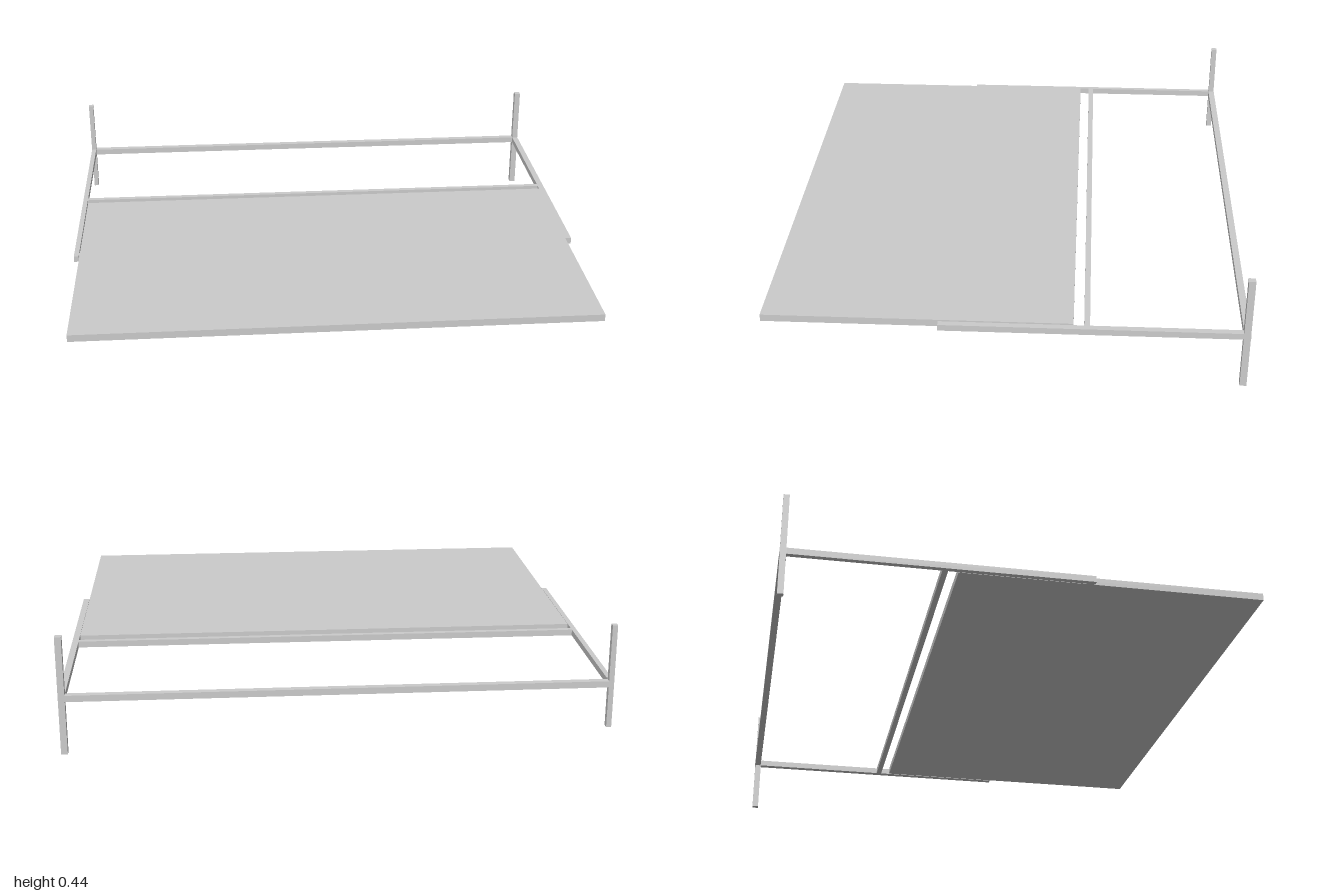
import * as THREE from 'three';

const material = new THREE.MeshStandardMaterial({ color: 0xcccccc, flatShading: true });

// Box given by its lower and upper limits on each axis
function bar(name, [x0, x1], [y0, y1], [z0, z1]) {
  const mesh = new THREE.Mesh(new THREE.BoxGeometry(x1 - x0, y1 - y0, z1 - z0), material);
  mesh.name = name;
  mesh.position.set((x0 + x1) / 2, (y0 + y1) / 2, (z0 + z1) / 2);
  return mesh;
}

export function createModel() {
  const group = new THREE.Group();
  group.name = 'slidingPanelFrame';
  const railY = [0.202, 0.226];
  const leftX = [0.976, 1], rightX = [-1, -0.981];

  // Flat panel sliding forward between the side rails
  group.add(bar('panel', [-0.977, 0.974], [0.203, 0.23], [-0.25, 0.878]));

  // Frame rails
  group.add(
    bar('backRail', [-0.999, 0.999], railY, [-0.878, -0.853]),
    bar('middleRail', [-0.981, 0.976], railY, [-0.309, -0.288]),
    bar('leftRail', leftX, railY, [-0.853, 0.235]),
    bar('rightRail', rightX, railY, [-0.853, 0.245]),
    bar('railStop', [-0.982, -0.976], railY, [0.217, 0.237])
  );

  // Corner posts, the right one ending a little above the ground
  group.add(
    bar('leftPost', leftX, [0, 0.445], [-0.877, -0.852]),
    bar('rightPost', rightX, [0.045, 0.44], [-0.877, -0.855])
  );
  return group;
}
